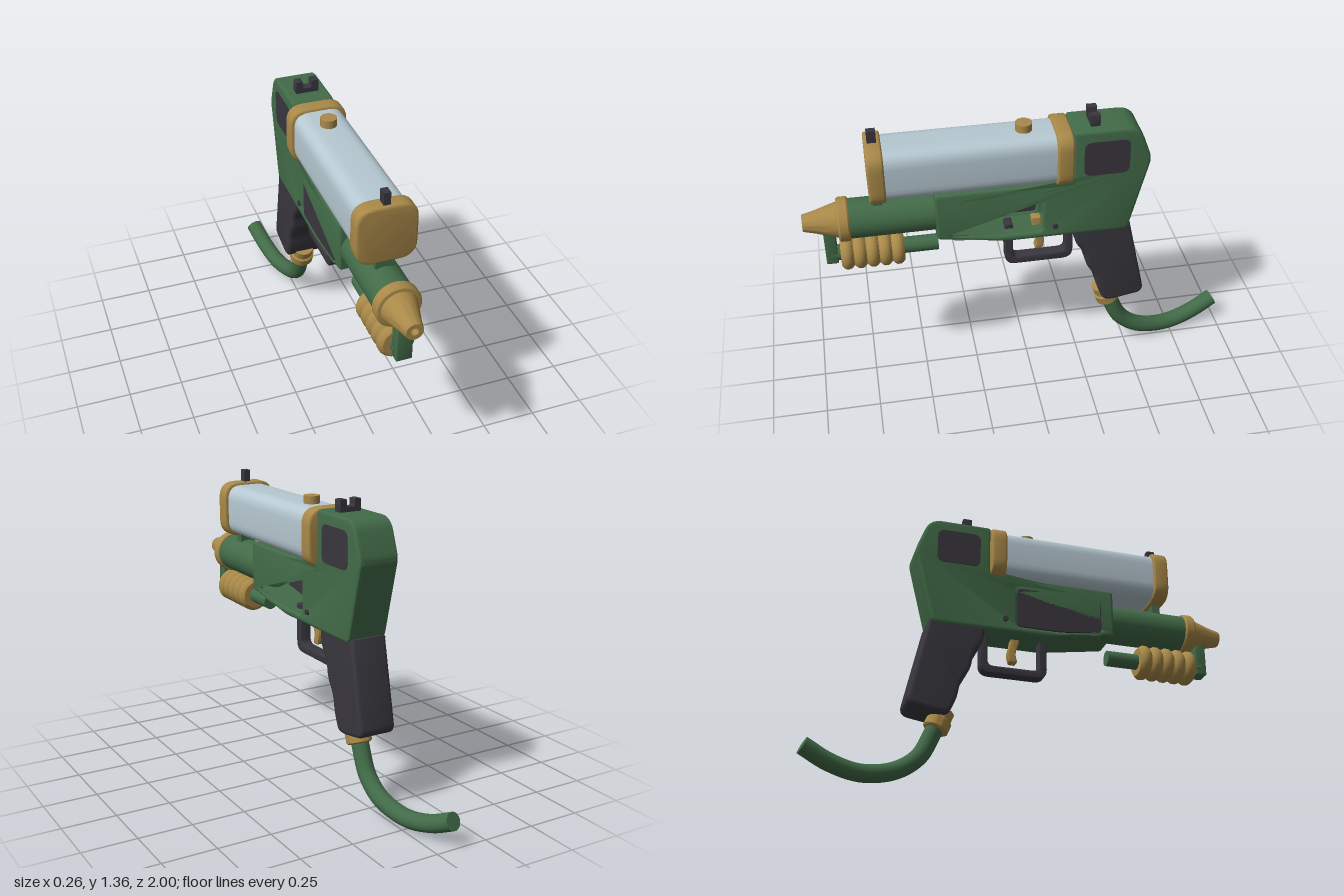
import * as THREE from 'three';
import { toCreasedNormals } from 'three/addons/utils/BufferGeometryUtils.js';

const material = (name, color) => {
  const m = new THREE.MeshStandardMaterial({ color });
  m.name = name;
  return m;
};

// Closed polygon with every corner rounded; a third entry overrides the radius.
function rounded(points, radius, Type = THREE.Shape) {
  const path = new Type();
  const n = points.length;
  points.forEach((p, i) => {
    const c = new THREE.Vector2(p[0], p[1]);
    const toward = (q) => {
      const d = new THREE.Vector2(q[0], q[1]).sub(c);
      const len = d.length();
      return d.multiplyScalar(Math.min(p[2] ?? radius, len * 0.48) / len).add(c);
    };
    const a = toward(points[(i + n - 1) % n]);
    const b = toward(points[(i + 1) % n]);
    if (i === 0) path.moveTo(a.x, a.y);
    else path.lineTo(a.x, a.y);
    path.quadraticCurveTo(c.x, c.y, b.x, b.y);
  });
  path.closePath();
  return path;
}

const rect = (x0, x1, y0, y1) => [[x0, y0], [x1, y0], [x1, y1], [x0, y1]];

// Extrusion of total thickness, centred on its own depth axis.
function slab(shape, thickness, bevel = 0) {
  const geo = new THREE.ExtrudeGeometry(shape, {
    depth: thickness - 2 * bevel, curveSegments: 6, bevelEnabled: bevel > 0,
    bevelThickness: bevel, bevelSize: bevel, bevelOffset: -bevel, bevelSegments: 3,
  });
  geo.translate(0, 0, -(thickness - 2 * bevel) / 2);
  return toCreasedNormals(geo, 0.6);
}

// Side profile drawn as (z, y), extruded across x.
const profile = (shape, width, bevel) => slab(shape, width, bevel).rotateY(-Math.PI / 2);

// Turned part along z from (radius, z) pairs running back to front.
function turned(pairs, segments = 40) {
  const pts = pairs.map(([r, z]) => new THREE.Vector2(r, z));
  return toCreasedNormals(new THREE.LatheGeometry(pts, segments).rotateX(Math.PI / 2), 0.6);
}

export function createModel() {
  const green = material('green paint', 0x426b48);
  const gold = material('brass', 0xa98949);
  const dark = material('dark rubber', 0x39373e);
  const clear = material('pale tank', 0xb6c8d1);

  const model = new THREE.Group();
  model.name = 'toyBlaster';
  const add = (name, geo, mat, x = 0, y = 0, z = 0) => {
    const mesh = new THREE.Mesh(geo, mat);
    mesh.name = name;
    mesh.position.set(x, y, z);
    model.add(mesh);
    return mesh;
  };

  // Hollow body: a rim between two side plates
  const outline = [
    [0.42, 0.82], [0.42, 1.055], [-0.19, 1.055, 0.005], [-0.19, 1.308],
    [-0.485, 1.308, 0.06], [-0.547, 1.14, 0.03], [-0.455, 0.768, 0.03], [0.1, 0.768, 0.03],
  ];
  const windowPts = [[0.355, 0.825], [0.355, 1.0], [-0.058, 1.0], [-0.058, 0.803], [0.15, 0.803]];
  const rim = rounded(outline, 0.015);
  rim.holes.push(rounded(
    [[0.4, 0.84], [0.4, 1.03], [-0.17, 1.03], [-0.17, 0.79], [0.11, 0.79]], 0.01, THREE.Path));
  add('bodyRim', profile(rim, 0.162), green);
  for (const side of [-1, 1]) {
    const plate = rounded(outline, 0.015);
    plate.holes.push(rounded(windowPts, 0.025, THREE.Path));
    add('bodySide', profile(plate, 0.028, 0.014), green, side * 0.082);
    add('rearPanel', profile(rounded(rect(-0.445, -0.24, 1.085, 1.255), 0.035), 0.008), dark, side * 0.095);
  }
  // The window is open on the left and closed on the right
  add('windowPanel', profile(rounded(windowPts, 0.02), 0.022), dark, -0.085);
  add('pivotPin', new THREE.CylinderGeometry(0.013, 0.013, 0.21, 16).rotateZ(Math.PI / 2), dark, 0, 0.83, -0.115);

  // Barrel and nozzle
  add('barrel', new THREE.CylinderGeometry(0.09, 0.09, 0.47, 40).rotateX(Math.PI / 2), green, 0, 0.923, 0.575);
  add('nozzle', turned([
    [0, 0.795], [0.094, 0.795], [0.1, 0.802], [0.1, 0.838], [0.094, 0.846], [0.08, 0.848],
    [0.074, 0.87], [0.062, 0.91], [0.05, 0.95], [0.042, 0.985], [0.038, 1], [0.017, 1], [0.017, 0.96],
  ]), gold, 0, 0.923);
  add('bore', new THREE.CircleGeometry(0.018, 20), dark, 0, 0.923, 0.965);

  // Pump rod, bracket and ribbed handle
  add('pumpBracket', profile(rounded(rect(0.863, 0.916, 0.705, 0.885), 0.008), 0.07, 0.005), green);
  add('pumpRod', new THREE.CylinderGeometry(0.037, 0.037, 0.48, 28).rotateX(Math.PI / 2), green, 0, 0.743, 0.65);
  const ribs = [[0, 0.565]];
  const ribCount = 5, ribLength = 0.057;
  for (let i = 0; i < ribCount; i++) {
    const z = 0.565 + i * ribLength;
    ribs.push([0.066, z], [0.077, z + 0.01], [0.083, z + 0.02], [0.083, z + 0.037], [0.077, z + 0.047]);
  }
  ribs.push([0.066, 0.85], [0, 0.85]);
  add('pumpHandle', turned(ribs), gold, 0, 0.743);

  // Tank with end caps and filler knob
  const square = (half, r) => rounded(rect(-half, half, -half, half), r);
  add('tank', slab(square(0.12, 0.07), 0.78), clear, 0, 1.176, 0.255).scale.x = 0.96;
  for (const z of [0.664, -0.153]) add('tankCap', slab(square(0.132, 0.078), 0.073, 0.01), gold, 0, 1.177, z);
  add('fillerKnob', new THREE.CylinderGeometry(0.037, 0.037, 0.05, 28), gold, 0, 1.307, 0.012);
  add('tankPost', new THREE.BoxGeometry(0.08, 0.07, 0.04), green, 0, 1.022, 0.665);

  // Sights
  add('frontSight', new THREE.BoxGeometry(0.03, 0.07, 0.04), dark, 0, 1.33, 0.665);
  const notch = [[-0.052, 1.295], [0.052, 1.295], [0.052, 1.363], [0.02, 1.363],
    [0.02, 1.33], [-0.02, 1.33], [-0.02, 1.363], [-0.052, 1.363]];
  add('rearSight', slab(rounded(notch, 0.003), 0.042), dark, 0, 0, -0.295);

  // Trigger and guard
  const guard = rounded([[0.105, 0.583, 0.05], [0.105, 0.815, 0.01], [0.067, 0.815, 0.01], [0.067, 0.62, 0.03],
    [-0.18, 0.62, 0.03], [-0.18, 0.78, 0.01], [-0.215, 0.78, 0.01], [-0.215, 0.583, 0.05]], 0.02);
  add('triggerGuard', profile(guard, 0.054, 0.004), dark);
  const trigger = rounded([[-0.02, 0.83, 0.005], [-0.028, 0.75], [-0.047, 0.7], [-0.035, 0.652, 0.01],
    [-0.073, 0.652, 0.01], [-0.084, 0.7], [-0.068, 0.75], [-0.065, 0.83, 0.005]], 0.03);
  add('trigger', profile(trigger, 0.04, 0.004), gold);

  // Grip with a scalloped front edge
  const grip = rounded([[-0.205, 0.79, 0.005], [-0.215, 0.7, 0.04], [-0.257, 0.65, 0.03], [-0.272, 0.565, 0.03],
    [-0.315, 0.5, 0.03], [-0.33, 0.42, 0.03], [-0.362, 0.343, 0.03], [-0.405, 0.34, 0.02],
    [-0.562, 0.367, 0.045], [-0.47, 0.79, 0.005]], 0.03);
  add('grip', profile(grip, 0.18, 0.018), dark);

  // Hose with its collar and closed end
  const hosePath = new THREE.CatmullRomCurve3([
    [0, 0.36, -0.383], [0, 0.27, -0.418], [0, 0.155, -0.475], [-0.006, 0.08, -0.575],
    [-0.035, 0.044, -0.725], [-0.064, 0.069, -0.865], [-0.09, 0.122, -0.982],
  ].map((p) => new THREE.Vector3(...p)));
  add('hose', new THREE.TubeGeometry(hosePath, 60, 0.04, 20), green);
  const end = hosePath.getPointAt(1);
  add('hoseEnd', new THREE.CircleGeometry(0.04, 20), green, end.x, end.y, end.z)
    .quaternion.setFromUnitVectors(new THREE.Vector3(0, 0, 1), hosePath.getTangentAt(1));
  const collar = turned([[0, -0.05], [0.05, -0.05], [0.058, -0.043], [0.058, 0], [0.05, 0.006], [0.05, 0.05], [0, 0.05]]);
  add('hoseCollar', collar, gold, 0, 0.33, -0.39)
    .quaternion.setFromUnitVectors(new THREE.Vector3(0, 0, -1), new THREE.Vector3(0, -0.93, -0.37).normalize());

  return model;
}
